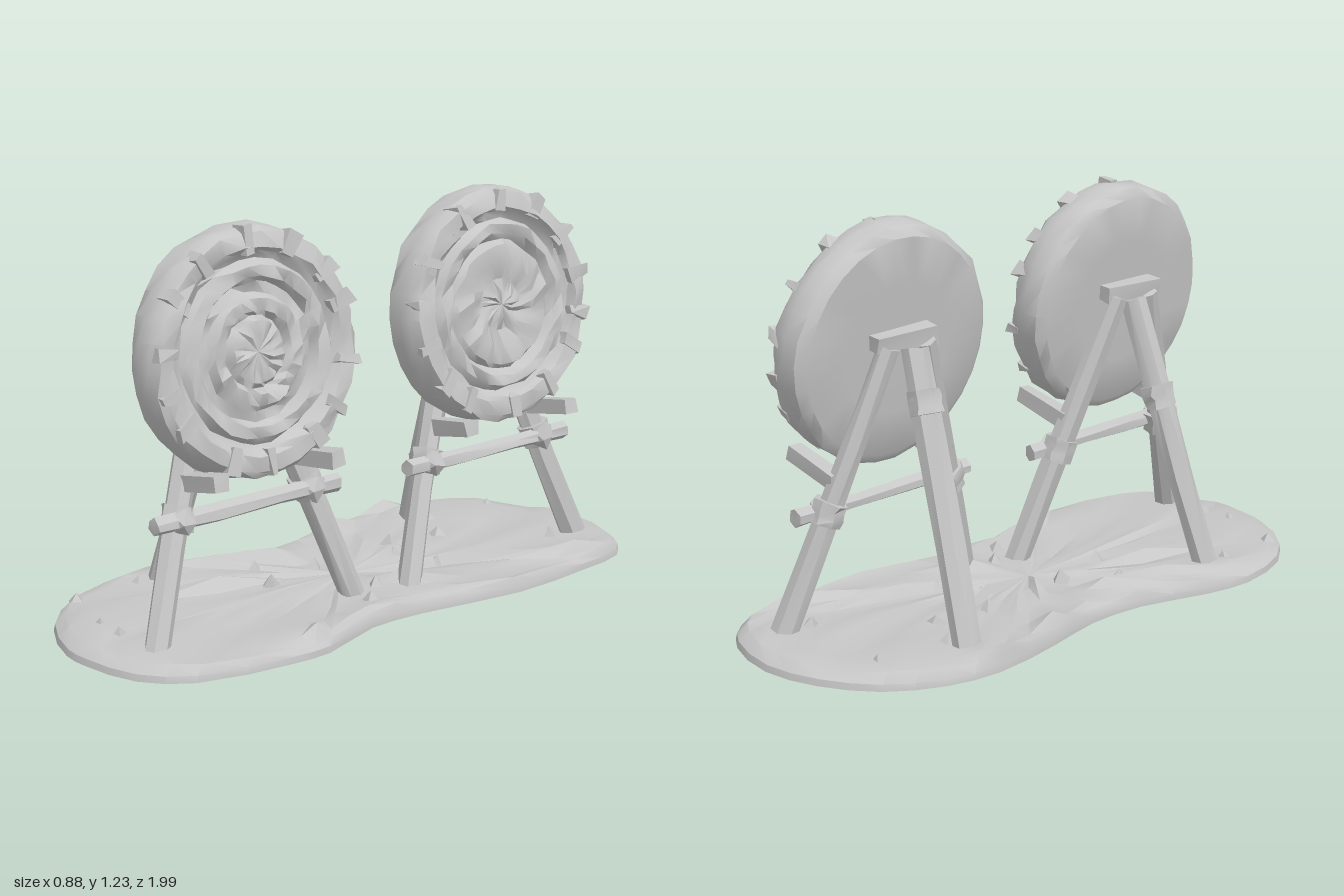
import * as THREE from 'three';
import { toCreasedNormals, mergeVertices } from 'three/addons/utils/BufferGeometryUtils.js';

const gray = new THREE.MeshStandardMaterial({ color: 0xc6c6c6 });
gray.name = 'plain gray';
const V = (x, y, z) => new THREE.Vector3(x, y, z);

// Repeatable value in -1..1 from a position, so coincident corners move together
function hash(x, y, z, seed) {
  const q = v => Math.round(v * 500) + 0;
  const s = Math.sin(q(x) * 12.9898 + q(y) * 78.233 + q(z) * 37.719 + seed * 4.137) * 43758.5453;
  return (s - Math.floor(s)) * 2 - 1;
}

// Roughens a geometry by a small random shift of every corner
function roughen(geo, ax, ay, az, seed, crease = 0.6) {
  const p = geo.attributes.position;
  for (let i = 0; i < p.count; i++) {
    const x = p.getX(i), y = p.getY(i), z = p.getZ(i);
    p.setXYZ(i, x + ax * hash(x, y, z, seed), y + ay * hash(x, y, z, seed + 1), z + az * hash(x, y, z, seed + 2));
  }
  geo.deleteAttribute('normal');
  geo.deleteAttribute('uv');
  geo = mergeVertices(geo, 1e-5);
  geo.computeVertexNormals();
  return toCreasedNormals(geo, crease);
}

function add(parent, name, geo) {
  const m = new THREE.Mesh(geo, gray);
  m.name = name;
  parent.add(m);
  return m;
}

// Rough wooden pole between two points
function pole(parent, name, a, b, r0, r1, sides, seed) {
  const len = a.distanceTo(b);
  const geo = roughen(new THREE.CylinderGeometry(r1, r0, len, sides, 3), 0.005, 0.004, 0.005, seed);
  const m = add(parent, name, geo);
  m.position.copy(a).lerp(b, 0.5);
  m.quaternion.setFromUnitVectors(V(0, 1, 0), b.clone().sub(a).normalize());
  return m;
}

// Lumpy binding around a pole at fraction t
function binding(parent, a, b, t, r, h, seed) {
  const d = b.clone().sub(a).normalize();
  const c = a.clone().lerp(b, t);
  pole(parent, 'binding', c.clone().addScaledVector(d, -h / 2), c.clone().addScaledVector(d, h / 2), r, r, 7, seed);
}

// Uneven kidney-shaped ground slab
function ground(parent) {
  const outline = [[0, -1], [.2, -.96], [.3, -.88], [.34, -.7], [.375, -.4], [.34, -.05], [.345, .15], [.43, .37],
    [.435, .5], [.39, .8], [.28, .93], [.1, .985], [0, .99], [-.2, .92], [-.36, .76], [-.425, .55], [-.41, .38],
    [-.35, .15], [-.35, -.05], [-.4, -.25], [-.445, -.5], [-.42, -.68], [-.33, -.84], [-.18, -.95]];
  const curve = new THREE.CatmullRomCurve3(outline.map(([x, z]) => V(x, 0, z)), true);
  const n = 48, rim = curve.getPoints(n).slice(0, n);
  const rings = [[0, 0], [1, 0], [.995, .02], [.96, .043], [.88, .05], [.68, .045], [.45, .04], [.22, .04], [0, .04]];
  const pos = [], idx = [];
  rings.forEach(([s, y], k) => rim.forEach(p => {
    const top = k > 2 && s > 0;
    const bump = top ? hash(p.x * s, k, p.z * s, 5) : 0;
    pos.push(p.x * s, y + .01 * bump + (bump > .9 ? .025 : 0), p.z * s);
  }));
  for (let k = 0; k < rings.length - 1; k++) for (let i = 0; i < n; i++) {
    const a = k * n + i, b = k * n + (i + 1) % n;
    idx.push(a, b, b + n, a, b + n, a + n);
  }
  // Corner order runs clockwise from above, so flip to face outward
  for (let i = 0; i < idx.length; i += 3) [idx[i + 1], idx[i + 2]] = [idx[i + 2], idx[i + 1]];
  // Outward test on the top centre ring
  const A = V().fromArray(pos, idx.at(-6) * 3), B = V().fromArray(pos, idx.at(-5) * 3), C = V().fromArray(pos, idx.at(-4) * 3);
  if (B.sub(A).cross(C.sub(A)).y < 0) idx.reverse();
  const geo = new THREE.BufferGeometry();
  geo.setAttribute('position', new THREE.Float32BufferAttribute(pos, 3));
  geo.setIndex(idx);
  geo.computeVertexNormals();
  add(parent, 'ground', toCreasedNormals(geo, 0.6));
  // Small shards of earth
  for (let i = 0; i < 16; i++) {
    const g = roughen(new THREE.ConeGeometry(.03, .035, 4), .008, .006, .008, i, .3);
    const m = add(parent, 'clod', g);
    m.position.set(.3 * hash(i, 1, 2, 3), .055, .85 * hash(i, 4, 5, 6));
    m.rotation.y = i;
  }
}

function target(parent, name, x, y, z, face, seed) {
  const g = new THREE.Group();
  g.name = name;
  g.position.set(x, 0, z);
  parent.add(g);

  // Round butt with raised rings on its face
  const disc = new THREE.Group();
  disc.name = 'targetDisc';
  disc.position.set(.13, y, 0);
  disc.rotation.set(0, .05, -Math.PI / 2 + .12, 'YXZ');
  g.add(disc);
  const profile = [[0, -.075], [.2, -.075], [.335, -.073], [.362, -.05], [.368, 0], [.362, .045], [.345, .068],
    [.3, .075], [.285, .055], ...face];
  const pts = profile.map(([r, h]) => new THREE.Vector2(r, h));
  const butt = new THREE.LatheGeometry(pts, 30);
  const p = butt.attributes.position;
  for (let i = 0; i < p.count; i++) {
    const a = p.getX(i), h = p.getY(i), b = p.getZ(i);
    if (h > .03) p.setY(i, h + .011 * hash(a, h, b, seed));
    const k = 1 + (h > -.07 ? .016 : .004) * hash(a, h, b, seed + 7);
    p.setX(i, a * k);
    p.setZ(i, b * k);
  }
  add(disc, 'butt', roughen(butt, 0, 0, 0, seed, 0.7));
  // Ragged wraps around the rim
  for (let i = 0; i < 14; i++) {
    const a = i / 14 * Math.PI * 2 + .15 * hash(i, 1, 1, seed);
    const wrap = add(disc, 'rimWrap', roughen(new THREE.BoxGeometry(.075, .05, .035), .008, .006, .012, seed + i, .4));
    wrap.position.set(.322 * Math.cos(a), .055, .322 * Math.sin(a));
    wrap.rotation.y = -a;
  }

  // Stand: two splayed front legs and one rear leg
  const feet = [V(.205, .03, .37), V(.145, .03, -.37)];
  const tops = [V(.01, .87, .065), V(.015, .87, -.065)];
  feet.forEach((f, i) => {
    pole(g, 'frontLeg', f, tops[i], .04, .034, 7, seed + i);
    binding(g, f, tops[i], .43, .05, .07, seed + 20 + i);
  });
  const lean = Math.sign(z) * .04;
  const foot = V(-.3, .03, lean), head = V(-.01, .86, -lean * .4);
  pole(g, 'rearLeg', foot, head, .043, .043, 7, seed + 3);
  binding(g, foot, head, z > 0 ? .64 : .82, .052, .07, seed + 4);

  // Crossbar tied to the front legs
  const l = feet[0].clone().lerp(tops[0], .43), r = feet[1].clone().lerp(tops[1], .43);
  const over = r.clone().sub(l).normalize().multiplyScalar(.1);
  l.x += .03; r.x += .03;
  pole(g, 'crossbar', l.clone().sub(over), r.clone().add(over), .026, .026, 6, seed + 5);
  [l, r].forEach((c, i) => {
    const knot = add(g, 'knot', roughen(new THREE.IcosahedronGeometry(.046, 0), .007, .007, .007, seed + i, .3));
    knot.position.copy(c);
  });

  // Pegs that carry the disc
  for (const s of [1, -1]) {
    const peg = add(g, 'peg', roughen(new THREE.BoxGeometry(.22, .05, .05), .005, .005, .005, seed + s, .4));
    peg.position.set(.18, .505, .205 * s - .01);
    peg.rotation.z = .2;
  }

  // Bracket behind the disc at the top of the legs
  const bracket = add(g, 'bracket', roughen(new THREE.BoxGeometry(.06, .05, .22), .005, .005, .005, seed, .4));
  bracket.position.set(.03, .885, 0);
  bracket.rotation.z = .12;
}

export function createModel() {
  const model = new THREE.Group();
  model.name = 'practiceTargets';
  ground(model);
  // Ringed face and a face with a broad middle
  const ringed = [[.265, .045], [.25, .068], [.215, .068], [.2, .042], [.17, .042], [.155, .065], [.12, .065],
    [.105, .045], [.09, .062], [.05, .066], [0, .066]];
  const broad = [[.265, .045], [.25, .068], [.22, .068], [.2, .045], [.185, .062], [.13, .066], [.08, .05], [.04, .06], [0, .055]];
  target(model, 'nearTarget', .005, .85, .45, ringed, 11);
  target(model, 'farTarget', -.01, .86, -.47, broad, 37);
  return model;
}
